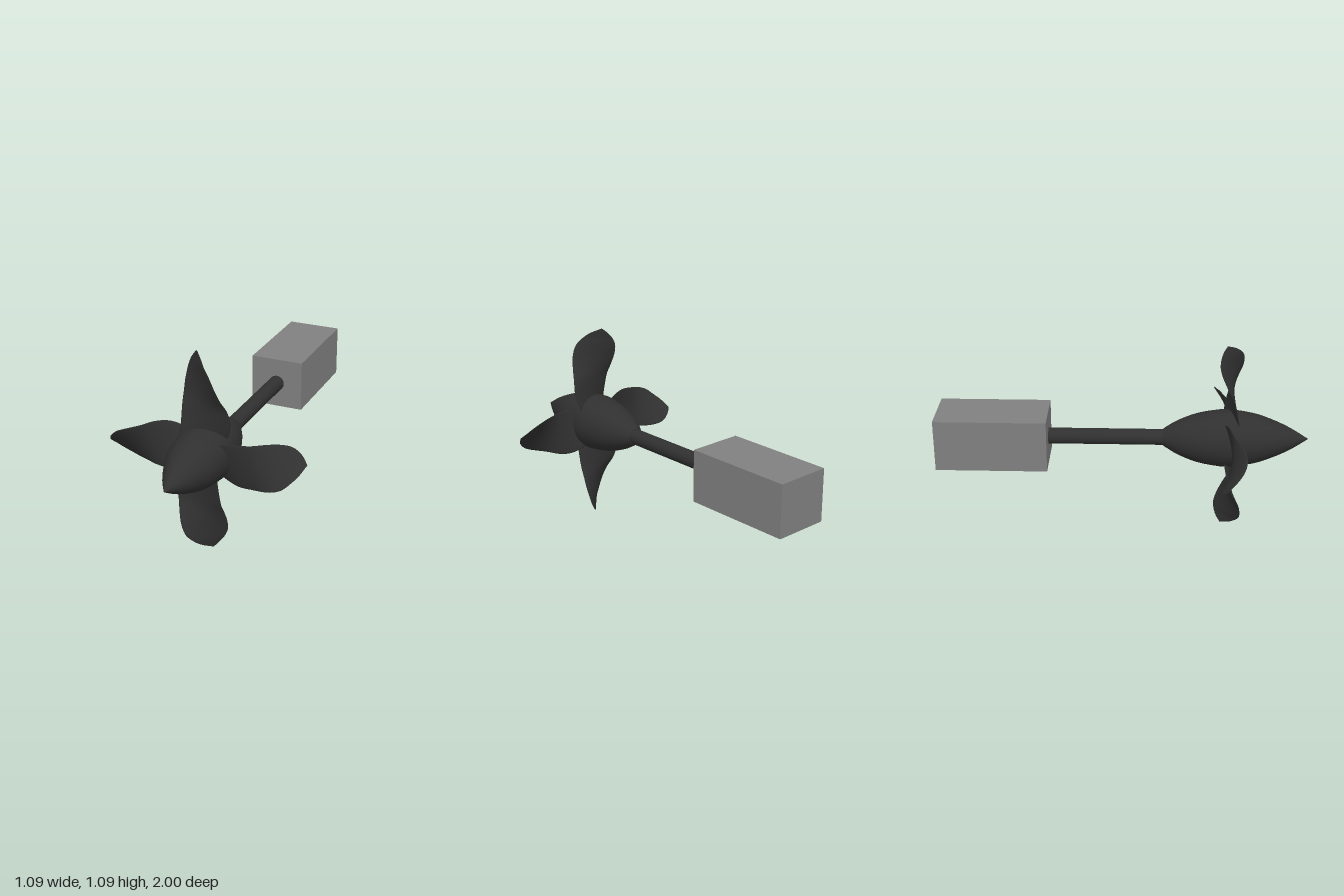
import * as THREE from 'three';

const AXIS_Y = 0.545; // height of the shaft axis
const BLADE_Z = 0.585; // plane of the blades

// Stations along a blade: radius, left x, right x, left z offset, right z offset
const STATIONS = [
  [0.04, -0.085, 0.085, 0.04, -0.04],
  [0.10, -0.098, 0.122, 0.038, -0.038],
  [0.155, -0.1, 0.142, 0.028, -0.028],
  [0.20, -0.101, 0.148, 0.018, -0.018],
  [0.265, -0.103, 0.138, 0, 0],
  [0.32, -0.107, 0.12, -0.028, 0.03],
  [0.375, -0.11, 0.104, -0.053, 0.052],
  [0.42, -0.107, 0.088, -0.07, 0.059],
  [0.455, -0.1, 0.07, -0.077, 0.056],
  [0.49, -0.084, 0.038, -0.073, 0.038],
  [0.52, -0.062, 0.006, -0.061, 0.006],
  [0.545, -0.038, -0.036, -0.041, -0.039],
];

// Twisted blade: thin lens sections swept along the radius
function bladeGeometry() {
  const around = 24, rows = 44;
  const curves = [1, 2, 3, 4].map((k) =>
    new THREE.CatmullRomCurve3(STATIONS.map((s) => new THREE.Vector3(s[k], s[0], 0))));
  const positions = [], index = [];
  for (let i = 0; i <= rows; i++) {
    const p = curves.map((c) => c.getPoint(i / rows));
    const [xl, xr, zl, zr] = p.map((v) => v.x);
    const thick = 0.007 * Math.min(1, (1 - i / rows) * 4) + 0.0005;
    for (let j = 0; j < around; j++) {
      const a = (j / around) * Math.PI * 2, c = Math.cos(a);
      positions.push(
        (xl + xr) / 2 + ((xr - xl) / 2) * c,
        p[0].y,
        (zl + zr) / 2 + ((zr - zl) / 2) * c + thick * Math.sin(a));
      if (i === rows) continue;
      const k = (j + 1) % around, r0 = i * around, r1 = r0 + around;
      index.push(r0 + j, r1 + j, r0 + k, r0 + k, r1 + j, r1 + k);
    }
  }
  const geo = new THREE.BufferGeometry();
  geo.setAttribute('position', new THREE.Float32BufferAttribute(positions, 3));
  geo.setIndex(index);
  geo.computeVertexNormals();
  return geo;
}

export function createModel() {
  const model = new THREE.Group();
  model.name = 'propeller';

  const black = new THREE.MeshStandardMaterial({ color: 0x303030 });
  black.name = 'black';
  const grey = new THREE.MeshStandardMaterial({ color: 0x808080 });
  grey.name = 'grey';

  const add = (name, geometry, material, z) => {
    const mesh = new THREE.Mesh(geometry, material);
    mesh.name = name;
    mesh.position.set(0, AXIS_Y, z);
    model.add(mesh);
    return mesh;
  };

  // Motor block and drive shaft
  add('motorBlock', new THREE.BoxGeometry(0.3, 0.285, 0.6), grey, -0.7);
  add('shaft', new THREE.CylinderGeometry(0.043, 0.043, 0.68, 32).rotateX(Math.PI / 2), black, -0.08);

  // Pointed hub, turned about the shaft axis
  const outline = new THREE.SplineCurve([
    [0.047, 0.22], [0.094, 0.3], [0.132, 0.4], [0.151, 0.5], [0.155, 0.57],
    [0.137, 0.7], [0.105, 0.8], [0.06, 0.9], [0, 1],
  ].map(([r, z]) => new THREE.Vector2(r, z))).getPoints(40);
  outline.forEach((p) => { p.x = Math.max(p.x, 0); });
  outline.unshift(new THREE.Vector2(0, 0.22), new THREE.Vector2(0.046, 0.22));
  add('hub', new THREE.LatheGeometry(outline, 48).rotateX(Math.PI / 2), black, 0);

  // Four blades
  const blade = bladeGeometry();
  for (let i = 0; i < 4; i++) {
    add('blade' + (i + 1), blade, black, BLADE_Z).rotation.z = (i * Math.PI) / 2;
  }
  return model;
}
